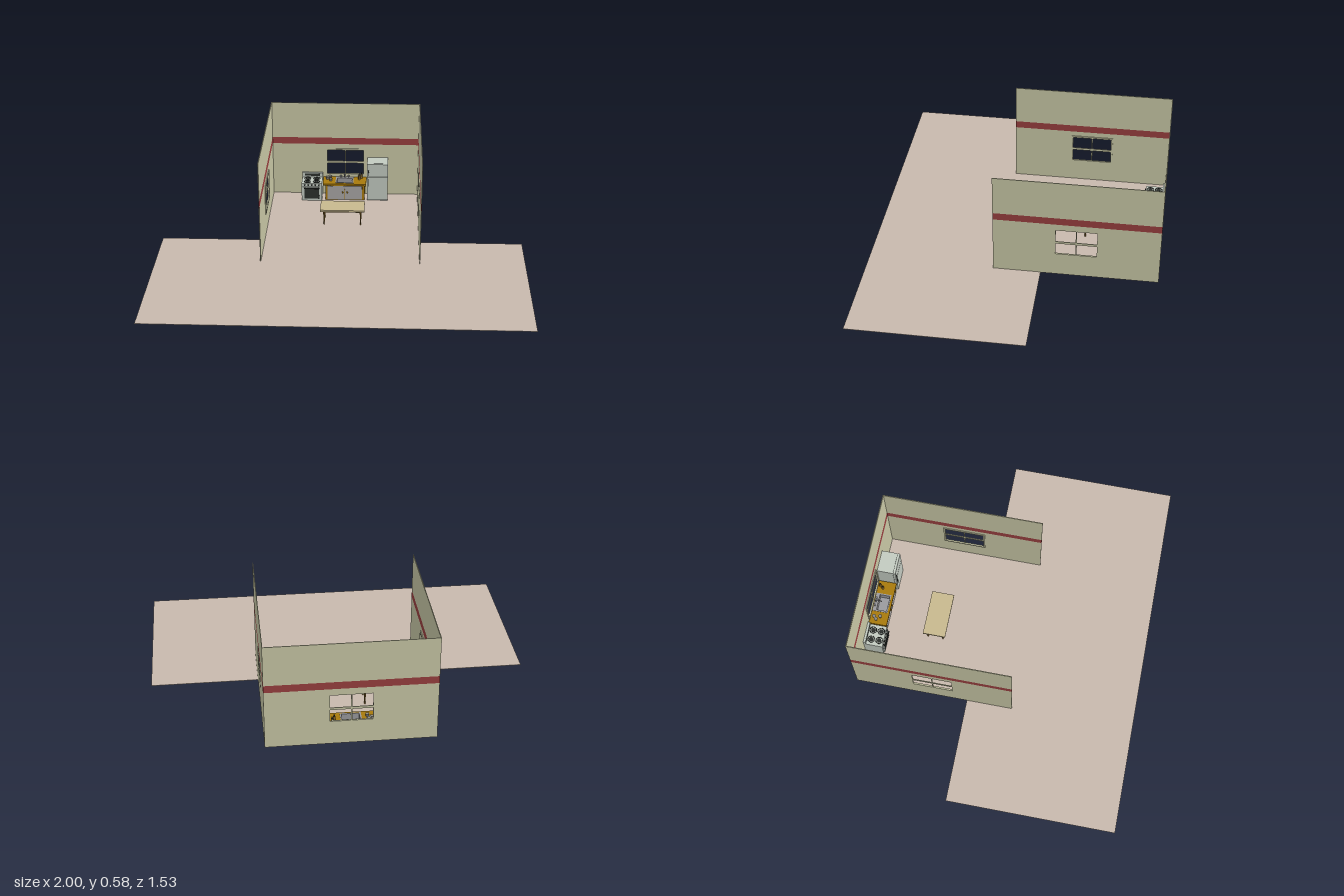
import * as THREE from 'three';

const mat = (color) => new THREE.MeshStandardMaterial({ color });
const M = {
  wall: mat(0xc9c8a6), stripe: mat(0x993f3f), floor: mat(0xc8b9ad), wood: mat(0xa87a0c),
  white: mat(0xc3cbc1), dark: mat(0x2c302c), steel: mat(0x9a9a9e), door: mat(0xaaa7a6),
  table: mat(0xc8b98f), leg: mat(0x8a6a2c), cup: mat(0x8d8a80),
};
M.floor.side = THREE.DoubleSide;

function add(parent, name, geo, material, x = 0, y = 0, z = 0) {
  const m = new THREE.Mesh(geo, material);
  m.name = name;
  m.position.set(x, y, z);
  parent.add(m);
  return m;
}

// Box given by its minimum and maximum corners
function box(parent, name, material, x0, x1, y0, y1, z0, z1) {
  return add(parent, name, new THREE.BoxGeometry(x1 - x0, y1 - y0, z1 - z0), material,
    (x0 + x1) / 2, (y0 + y1) / 2, (z0 + z1) / 2);
}

const cyl = (parent, name, material, r0, r1, h, x, y, z) =>
  add(parent, name, new THREE.CylinderGeometry(r0, r1, h, 16), material, x, y, z);

function rect(Type, x0, x1, y0, y1) {
  const p = new Type();
  p.moveTo(x0, y0).lineTo(x1, y0).lineTo(x1, y1).lineTo(x0, y1).closePath();
  return p;
}

function group(parent, name) {
  const g = new THREE.Group();
  g.name = name;
  parent.add(g);
  return g;
}

// Wall with a four-pane window; outer face at z = 0, inner side towards +z
function wall(parent, name) {
  const g = group(parent, name), h = 0.4325, t = 0.004;
  const lower = rect(THREE.Shape, -h, h, 0.001, 0.322);
  for (const [x0, x1] of [[-0.107, -0.003], [0.003, 0.107]])
    for (const [y0, y1] of [[0.133, 0.2], [0.213, 0.285]])
      lower.holes.push(rect(THREE.Path, x0, x1, y0, y1));
  add(g, 'lowerWall', new THREE.ExtrudeGeometry(lower, { depth: t, bevelEnabled: false }), M.wall);
  box(g, 'stripe', M.stripe, -h, h, 0.322, 0.362, 0, t);
  box(g, 'upperWall', M.wall, -h, h, 0.362, 0.58, 0, t);
  const trim = rect(THREE.Shape, -0.116, 0.116, 0.124, 0.294);
  trim.holes.push(rect(THREE.Path, -0.107, 0.107, 0.133, 0.285));
  add(g, 'windowTrim', new THREE.ExtrudeGeometry(trim, { depth: 0.005, bevelEnabled: false }), M.wall, 0, 0, t);
  return g;
}

function stove(parent) {
  const g = group(parent, 'stove'), x0 = -0.255, x1 = -0.135, cx = -0.195;
  box(g, 'stoveBody', M.white, x0, x1, 0.002, 0.112, -0.76, -0.656);
  box(g, 'backGuard', M.white, x0, x1, 0.112, 0.14, -0.76, -0.748);
  box(g, 'guardPanel', M.dark, x0 + 0.015, x1 - 0.015, 0.12, 0.134, -0.748, -0.747);
  box(g, 'ovenDoor', M.white, x0 + 0.006, x1 - 0.006, 0.008, 0.092, -0.656, -0.651);
  box(g, 'ovenWindow', M.dark, x0 + 0.016, x1 - 0.016, 0.016, 0.078, -0.651, -0.65);
  box(g, 'ovenHandle', M.dark, x0 + 0.015, x1 - 0.015, 0.083, 0.088, -0.646, -0.641);
  for (const s of [-1, 1]) {
    box(g, 'handleMount', M.dark, cx + s * 0.04 - 0.002, cx + s * 0.04 + 0.002, 0.083, 0.088, -0.651, -0.646);
    for (const z of [-0.725, -0.68]) {
      cyl(g, 'burner', M.dark, 0.012, 0.012, 0.003, cx + s * 0.027, 0.1135, z);
      const ring = add(g, 'burnerGrate', new THREE.TorusGeometry(0.018, 0.002, 6, 20), M.dark, cx + s * 0.027, 0.114, z);
      ring.rotation.x = Math.PI / 2;
    }
  }
  for (let i = 0; i < 5; i++)
    cyl(g, 'stoveKnob', M.dark, 0.0045, 0.0045, 0.006, cx + (i - 2) * 0.021, 0.102, -0.653).rotation.x = Math.PI / 2;
}

function sinkUnit(parent) {
  const g = group(parent, 'sinkUnit');
  box(g, 'cabinet', M.wood, -0.115, 0.11, 0.002, 0.07, -0.76, -0.672);
  for (const s of [-1, 1]) {
    box(g, 'cabinetSide', M.wood, s * 0.11 - 0.006, s * 0.11 + 0.006, 0.002, 0.1, -0.76, -0.67);
    box(g, 'cabinetDoor', M.door, s * 0.052 - 0.05, s * 0.052 + 0.05, 0.006, 0.092, -0.672, -0.668);
    add(g, 'doorKnob', new THREE.SphereGeometry(0.005, 10, 8), M.wood, s * 0.013, 0.053, -0.665);
  }
  // Counter with an opening for the basin
  const top = rect(THREE.Shape, -0.13, 0.125, 0.66, 0.76);
  top.holes.push(rect(THREE.Path, -0.05, 0.045, 0.676, 0.738));
  const counter = add(g, 'counter', new THREE.ExtrudeGeometry(top, { depth: 0.012, bevelEnabled: false }), M.wood, 0, 0.098, 0);
  counter.rotation.x = -Math.PI / 2;
  const rim = rect(THREE.Shape, -0.056, 0.05, 0.672, 0.756);
  rim.holes.push(rect(THREE.Path, -0.047, 0.042, 0.679, 0.735));
  const rimMesh = add(g, 'sinkRim', new THREE.ExtrudeGeometry(rim, { depth: 0.003, bevelEnabled: false }), M.steel, 0, 0.11, 0);
  rimMesh.rotation.x = -Math.PI / 2;
  box(g, 'basinBottom', M.steel, -0.05, 0.045, 0.071, 0.074, -0.738, -0.676);
  for (const x of [-0.05, 0.042]) box(g, 'basinSide', M.steel, x, x + 0.003, 0.074, 0.11, -0.738, -0.676);
  for (const z of [-0.738, -0.679]) box(g, 'basinEnd', M.steel, -0.047, 0.042, 0.074, 0.11, z, z + 0.003);
  // Tap
  const path = new THREE.CatmullRomCurve3([[0.11, -0.748], [0.135, -0.748], [0.143, -0.735], [0.138, -0.718], [0.13, -0.715]]
    .map(([y, z]) => new THREE.Vector3(-0.003, y, z)));
  add(g, 'tap', new THREE.TubeGeometry(path, 16, 0.003, 8), M.steel);
  for (const x of [-0.025, 0.019]) cyl(g, 'tapHandle', M.steel, 0.006, 0.004, 0.012, x, 0.119, -0.748);
  // Crockery and bottles
  for (const [x, z] of [[-0.105, -0.725], [-0.085, -0.705], [-0.09, -0.738]])
    cyl(g, 'cup', M.cup, 0.01, 0.007, 0.016, x, 0.118, z);
  for (const [x, z] of [[0.083, -0.728], [0.095, -0.745]]) {
    cyl(g, 'bottle', M.leg, 0.006, 0.007, 0.026, x, 0.123, z);
    cyl(g, 'bottleNeck', M.dark, 0.002, 0.004, 0.012, x, 0.142, z);
  }
}

function fridge(parent) {
  const g = group(parent, 'fridge');
  box(g, 'fridgeBody', M.white, 0.13, 0.252, 0.002, 0.24, -0.76, -0.672);
  box(g, 'fridgeDoor', M.white, 0.13, 0.252, 0.01, 0.157, -0.67, -0.658);
  box(g, 'freezerDoor', M.white, 0.13, 0.252, 0.161, 0.24, -0.67, -0.658);
  box(g, 'doorSeal', M.dark, 0.132, 0.25, 0.012, 0.238, -0.672, -0.67);
  for (const [y0, y1] of [[0.1, 0.148], [0.168, 0.2]])
    box(g, 'fridgeHandle', M.dark, 0.136, 0.14, y0, y1, -0.658, -0.652);
}

function table(parent) {
  const g = group(parent, 'table');
  box(g, 'tableTop', M.table, -0.13, 0.122, 0.09, 0.1, -0.456, -0.332);
  box(g, 'tableApron', M.leg, -0.113, 0.105, 0.08, 0.09, -0.441, -0.347);
  for (const x of [-0.108, 0.1]) for (const z of [-0.436, -0.352])
    cyl(g, 'tableLeg', M.leg, 0.005, 0.0035, 0.088, x, 0.046, z);
}

export function createModel() {
  const model = new THREE.Group();
  model.name = 'kitchenRoom';

  // T-shaped floor
  const plan = new THREE.Shape([[-1, -0.765], [1, -0.765], [1, 0.15], [0.4325, 0.15], [0.4325, 0.765],
    [-0.4325, 0.765], [-0.4325, 0.15], [-1, 0.15]].map(([x, y]) => new THREE.Vector2(x, y)));
  const floor = add(model, 'floor', new THREE.ExtrudeGeometry(plan, { depth: 0.002, bevelEnabled: false }), M.floor);
  floor.rotation.x = -Math.PI / 2;

  // Walls
  wall(model, 'backWall').position.z = -0.765;
  for (const s of [-1, 1]) {
    const w = wall(model, s > 0 ? 'leftWall' : 'rightWall');
    w.position.set(s * 0.4325, 0, -0.3325);
    w.rotation.y = -s * Math.PI / 2;
  }

  stove(model);
  sinkUnit(model);
  fridge(model);
  table(model);
  return model;
}
